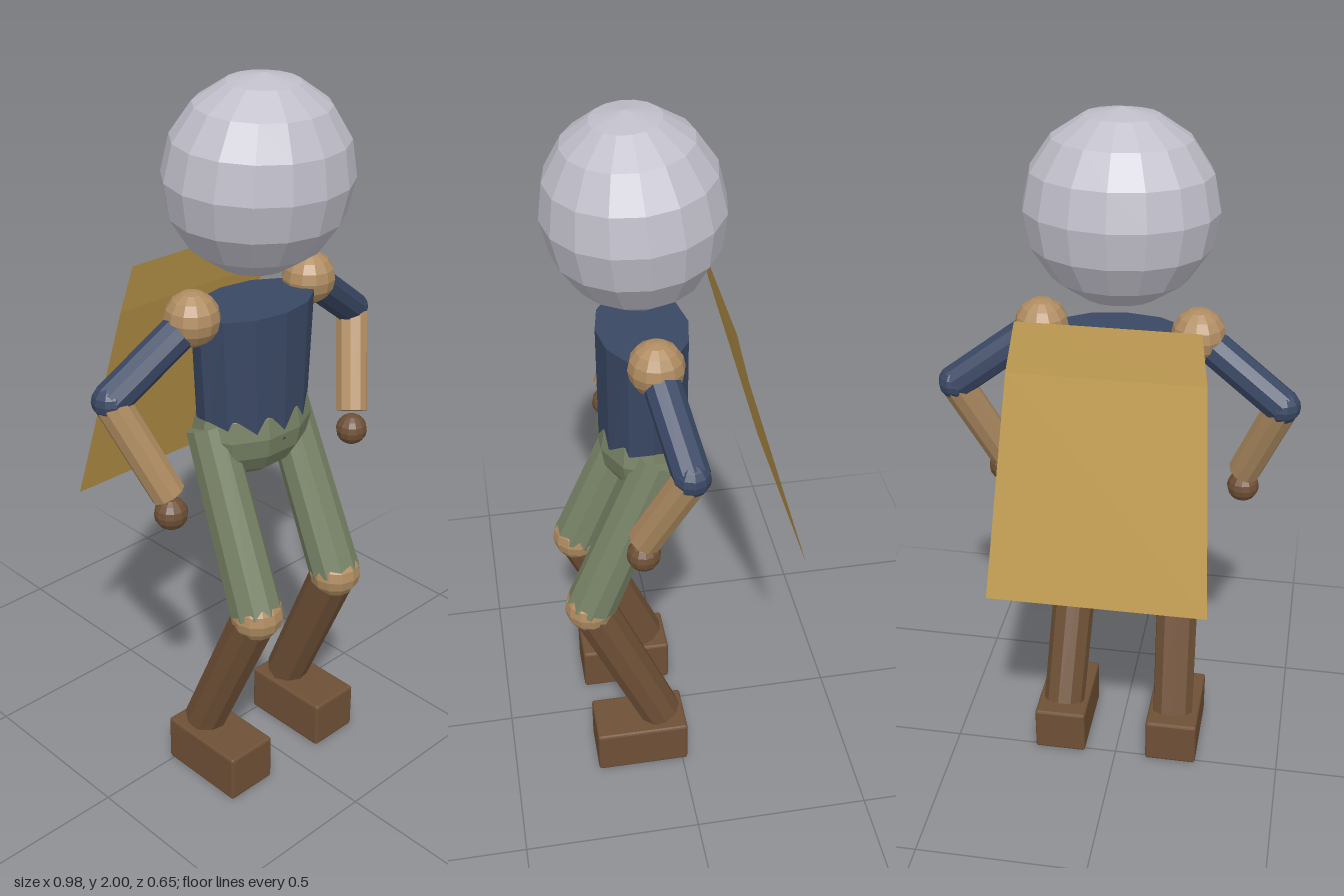
import * as THREE from 'three';
import { RoundedBoxGeometry } from 'three/addons/geometries/RoundedBoxGeometry.js';

const V = (x, y, z) => new THREE.Vector3(x, y, z);

function material(name, color) {
  const m = new THREE.MeshStandardMaterial({ color, flatShading: true });
  m.name = name;
  return m;
}

export function createModel() {
  const model = new THREE.Group();
  model.name = 'figure';

  const grey = material('pale grey', 0xc0bec9);
  const navy = material('navy cloth', 0x3a4864);
  const tan = material('tan skin', 0xb08d62);
  const olive = material('olive cloth', 0x778265);
  const leather = material('brown leather', 0x6e5036);
  const gold = material('golden cloth', 0xbd984a);
  gold.side = THREE.DoubleSide;

  function add(name, geometry, mat, position) {
    const mesh = new THREE.Mesh(geometry, mat);
    mesh.name = name;
    if (position) mesh.position.copy(position);
    model.add(mesh);
    return mesh;
  }

  function ball(name, mat, centre, radius, w = 12, h = 8) {
    return add(name, new THREE.SphereGeometry(radius, w, h), mat, centre);
  }

  // Straight limb between two points, from start radius to end radius
  function limb(name, mat, from, to, r0, r1 = r0) {
    const axis = to.clone().sub(from);
    const mesh = add(name, new THREE.CylinderGeometry(r1, r0, axis.length(), 10), mat,
      from.clone().add(to).multiplyScalar(0.5));
    mesh.quaternion.setFromUnitVectors(V(0, 1, 0), axis.normalize());
    return mesh;
  }

  // Head, slightly nodded forward
  const head = ball('head', grey, V(0, 1.748, 0.087), 1, 16, 8);
  head.scale.set(0.255, 0.253, 0.232);
  head.rotation.x = 0.06;

  // Torso: oval prism that narrows sideways to the waist
  const torsoGeo = new THREE.CylinderGeometry(1, 1, 0.36, 12);
  const p = torsoGeo.attributes.position;
  for (let i = 0; i < p.count; i++) {
    const top = p.getY(i) > 0;
    p.setX(i, p.getX(i) * (top ? 0.19 : 0.168));
    p.setZ(i, p.getZ(i) * 0.122);
  }
  torsoGeo.computeVertexNormals();
  add('torso', torsoGeo, navy, V(0, 1.23, 0.07));

  // Hips bulge out through the hem of the torso
  ball('hips', olive, V(0, 1.068, 0.07), 1, 10, 8).scale.set(0.185, 0.145, 0.13);

  for (const [side, s] of [['left', 1], ['right', -1]]) {
    const n = (part) => side + part;
    // Arm
    const shoulder = V(s * 0.21, 1.418, 0.067);
    const elbow = V(s * 0.443, 1.25, 0.02);
    const wrist = V(s * 0.347, 0.99, 0.12);
    ball(n('Shoulder'), tan, shoulder, 0.073);
    limb(n('UpperArm'), navy, shoulder, elbow, 0.048);
    ball(n('Elbow'), navy, elbow, 0.048, 10, 8);
    limb(n('Forearm'), tan, elbow, wrist, 0.046);
    ball(n('Hand'), leather, V(s * 0.344, 0.935, 0.125), 0.045);

    // Leg
    const hip = V(s * 0.14, 1.085, 0.05);
    const knee = V(s * 0.155, 0.595, 0.25);
    const ankle = V(s * 0.17, 0.145, 0.056);
    limb(n('Thigh'), olive, hip, knee, 0.064, 0.072);
    ball(n('Knee'), tan, knee, 0.073);
    limb(n('Shin'), leather, knee, ankle, 0.065, 0.062);
    add(n('Foot'), new RoundedBoxGeometry(0.155, 0.14, 0.27, 1, 0.007), leather,
      V(s * 0.1725, 0.07, 0.12));
  }

  // Cape: thin sheet folded once below the shoulders, [half width, y, z]
  const rows = [[0.238, 1.51, -0.126], [0.259, 1.38, -0.156], [0.296, 0.79, -0.327]];
  const capeGeo = new THREE.PlaneGeometry(1, 1, 1, rows.length - 1);
  rows.forEach(([w, y, z], i) => {
    capeGeo.attributes.position.setXYZ(i * 2, -w, y, z);
    capeGeo.attributes.position.setXYZ(i * 2 + 1, w, y, z);
  });
  capeGeo.computeVertexNormals();
  add('cape', capeGeo, gold);

  return model;
}
